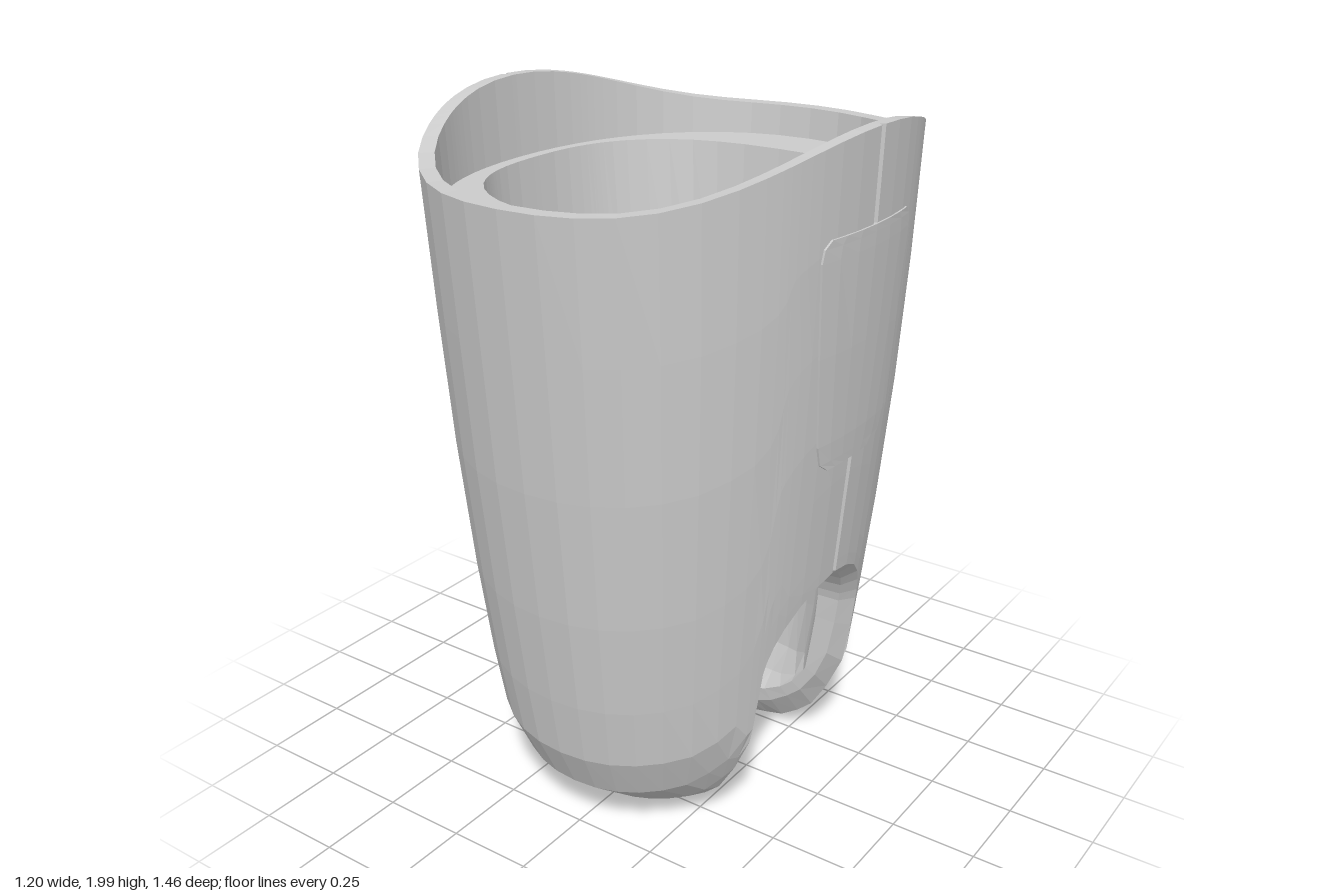
import * as THREE from 'three';

const material = new THREE.MeshStandardMaterial({ color: 0xcccccc, flatShading: true, side: THREE.DoubleSide });

// Piecewise-linear lookup in [y, value] pairs
function lookup(knots, y) {
  if (y <= knots[0][0]) return knots[0][1];
  for (let i = 1; i < knots.length; i++) {
    const [y0, v0] = knots[i - 1], [y1, v1] = knots[i];
    if (y <= y1) return v0 + (v1 - v0) * (y - y0) / (y1 - y0);
  }
  return knots[knots.length - 1][1];
}

// Half widths (x) and half depths (z) by height
const outerX = [[0.01, 0.22], [0.04, 0.3], [0.1, 0.36], [0.17, 0.4], [0.33, 0.47], [0.6, 0.5], [0.76, 0.52], [1.2, 0.56], [1.6, 0.585], [2, 0.6]];
const outerZ = [[0.01, 0.26], [0.04, 0.36], [0.13, 0.5], [0.25, 0.57], [0.6, 0.625], [1.1, 0.675], [1.86, 0.73], [2, 0.735]];
const innerX = [[0.13, 0.25], [0.25, 0.38], [0.5, 0.4], [0.72, 0.4], [0.9, 0.45], [1.77, 0.52]];
const innerZ = [[0.13, 0.2], [0.17, 0.27], [0.25, 0.31], [0.5, 0.36], [0.76, 0.39], [1.3, 0.45], [1.77, 0.48]];
const OUT = 0.93, IN = 0.8, LEDGE = 1.77;

const cosP = (q, p) => Math.pow(Math.max(0, Math.cos(q)), p);
const sinP = (q, p) => Math.pow(Math.max(0, Math.sin(q)), p);

// Points on the two walls, in one quadrant
const outerPoint = (q, y, inset = 0) => new THREE.Vector3(
  (lookup(outerX, y) - inset * 0.8) * cosP(q, OUT), y, (lookup(outerZ, y) - inset) * sinP(q, OUT));
const innerPoint = (q, y) => new THREE.Vector3(
  lookup(innerX, y) * cosP(q, IN), y, lookup(innerZ, y) * sinP(q, IN));

const rimHeight = q => 1.86 + 0.14 * Math.pow(Math.cos(q), 4);
const archHalf = y => 0.26 * (y < 0.5 ? 1 : Math.sqrt(Math.max(0, 1 - ((y - 0.5) / 0.26) ** 2)));

// Height at which a column of the outer wall meets the side arch
function archHeight(q) {
  let lo = 0.01, hi = 0.76;
  for (let i = 0; i < 40; i++) {
    const y = (lo + hi) / 2;
    if (lookup(outerZ, y) * sinP(q, OUT) > archHalf(y)) hi = y; else lo = y;
  }
  return (lo + hi) / 2;
}

// Columns all the way round: quadrant angle plus mirror signs
function makeColumns() {
  const up = [0, 0.6, 6, 12, 17, 20, 22, 23, 24, 25, 27, 31, 37, 45, 54, 63, 72, 81, 90].map(d => d * Math.PI / 180);
  const down = [...up].reverse();
  const quadrant = (list, sx, sz) => list.map(q => ({ q, sx, sz }));
  return [
    ...quadrant(up, 1, 1), ...quadrant(down.slice(1), -1, 1),
    ...quadrant(up.slice(1), -1, -1), ...quadrant(down.slice(1, -1), 1, -1),
  ];
}

// Stations of one column, grouped by part, running down the outside and up the inside
function columnProfile({ q, sx, sz }) {
  const top = rimHeight(q), yEdge = archHeight(q);
  const outer = [0, 0.2, 0.4, 0.6, 0.75, 0.85, 0.92, 0.97, 1].map(t => {
    const p = outerPoint(q, top + (yEdge - top) * t);
    if (q === 0) p.x *= 0.98; // seam groove on both sides
    return p;
  });

  // Inner lip of the arch follows the outer one at a smaller size
  const yIn = 0.13 + (yEdge - 0.01) * 0.787;
  const ratio = Math.min(1, archHalf(yEdge) * 0.77 / lookup(innerZ, yIn));
  const qIn = q === 0 ? 0 : Math.asin(Math.pow(ratio, 1 / IN));
  const cavity = [0, 0.03, 0.08, 0.18, 0.4, 0.7, 1].map(t => {
    const y = yIn + (LEDGE - yIn) * t;
    const p = innerPoint(qIn + (q - qIn) * t, y);
    p.shift = -0.03 * t;
    return p;
  });

  const e0 = outer[outer.length - 1], e2 = cavity[0];
  const bevel = new THREE.Vector3(
    e0.x + (e2.x - e0.x) * 0.3,
    e0.y + (e2.y - e0.y) * (0.25 + 0.6 * Math.cos(q)),
    e0.z + (e2.z - e0.z) * 0.9);

  const wallTop = outerPoint(q, top, 0.045), wallBase = outerPoint(q, LEDGE, 0.045);
  const place = p => new THREE.Vector3(p.x * sx, p.y, p.z * sz + (p.shift || 0));
  const parts = {
    outerShell: outer,
    archEdge: [e0, bevel, e2],
    innerCavity: cavity,
    innerLedge: [cavity[cavity.length - 1], wallBase],
    topRim: [wallBase, wallTop, outer[0]],
  };
  for (const key in parts) parts[key] = parts[key].map(place);
  return parts;
}

// Skin between neighbouring columns of points
function skin(columns, closed) {
  const rows = columns[0].length, n = columns.length, index = [];
  for (let j = 0; j < (closed ? n : n - 1); j++) {
    const k = (j + 1) % n;
    for (let i = 0; i < rows - 1; i++) {
      const a = j * rows + i, c = k * rows + i;
      index.push(a, c, a + 1, c, c + 1, a + 1);
    }
  }
  const geometry = new THREE.BufferGeometry().setFromPoints(columns.flat());
  geometry.setIndex(index);
  geometry.computeVertexNormals();
  return geometry;
}

// Slightly raised plate on the left side, following the curve of the wall
function sidePanel() {
  const rows = [[1.755, 0.19], [1.735, 0.215], [1.7, 0.222], [1.45, 0.2], [1.2, 0.172], [1.145, 0.155], [1.12, 0.12]];
  const point = (y, z, lift) => {
    const q = Math.asin(Math.pow(Math.abs(z) / lookup(outerZ, y), 1 / OUT));
    const p = outerPoint(q, y);
    return new THREE.Vector3(p.x + lift, y, z);
  };
  const steps = [-1, -1, -0.7, -0.35, 0, 0.35, 0.7, 1, 1];
  const columns = steps.map((s, j) => {
    const lift = j === 0 || j === steps.length - 1 ? -0.012 : 0.005;
    const face = rows.map(([y, w]) => point(y, s * w, lift));
    const [yT, wT] = rows[0], [yB, wB] = rows[rows.length - 1];
    return [point(yT, s * wT, -0.012), ...face, point(yB, s * wB, -0.012)];
  });
  return skin(columns, false);
}

export function createModel() {
  const group = new THREE.Group();
  group.name = 'taperedShell';
  const add = (name, geometry) => {
    const mesh = new THREE.Mesh(geometry, material);
    mesh.name = name;
    group.add(mesh);
  };
  const profiles = makeColumns().map(columnProfile);
  for (const name of Object.keys(profiles[0])) add(name, skin(profiles.map(p => p[name]), true));
  add('sidePanel', sidePanel());
  return group;
}
